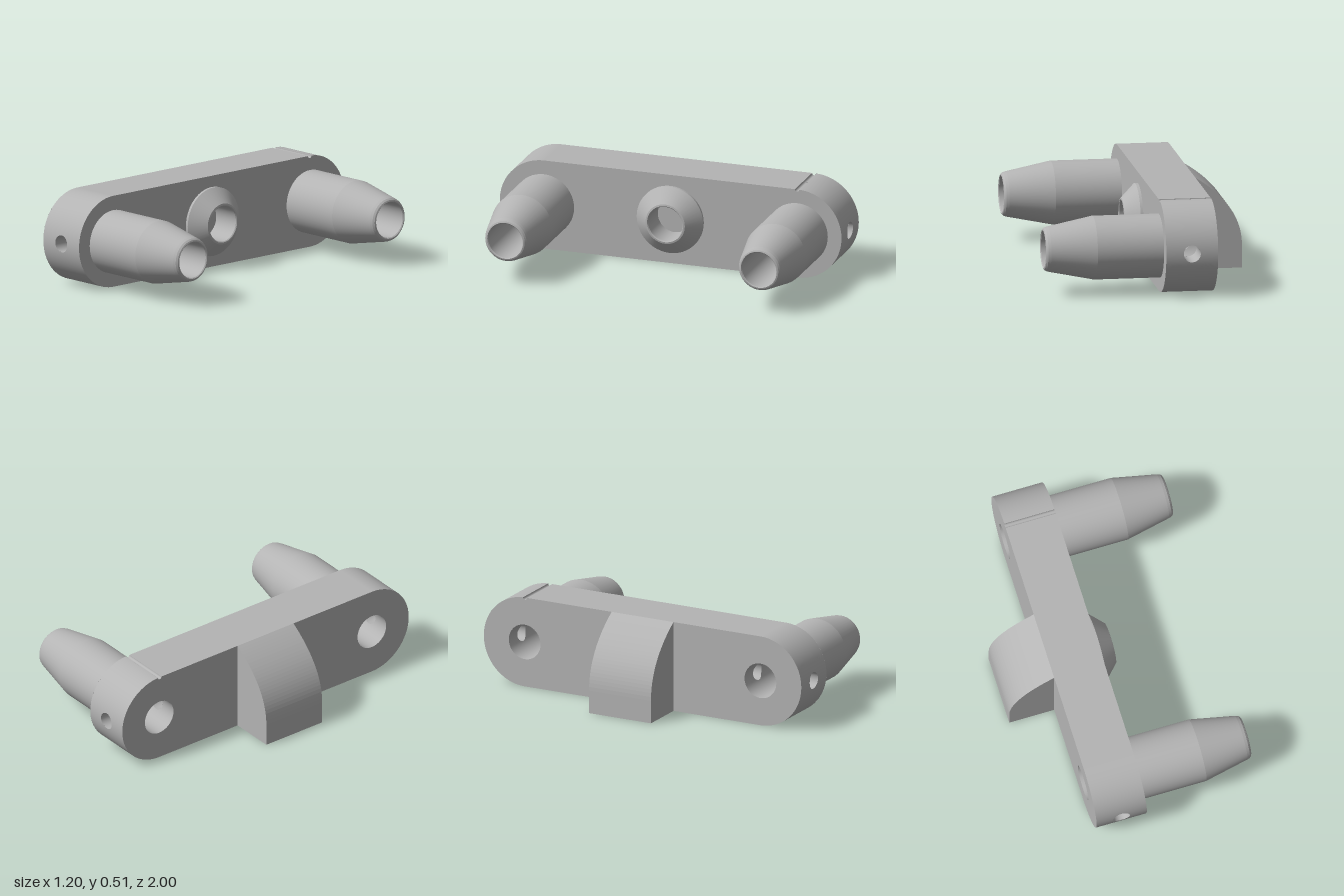
import * as THREE from 'three';
import { mergeGeometries } from 'three/addons/utils/BufferGeometryUtils.js';
import { ParametricGeometry } from 'three/addons/geometries/ParametricGeometry.js';

const CY = 0.2575, R = 0.2575, END = 0.7425;   // bar centre height, end radius, end centre
const BACK = -0.34, FACE = -0.05;              // bar thickness along x
const BORE = 0.1, CROSS = 0.048, MID = (BACK + FACE) / 2;
const GROOVE_Z = -0.74, GROOVE_R = 0.013, GROOVE_A = Math.asin((END - 0.73) / R * 0.85);
const PI = Math.PI;

const grey = new THREE.MeshStandardMaterial({ color: 0xb4b4b4, side: THREE.DoubleSide });
grey.name = 'grey';

const sheet = (f, nu, nv) => new ParametricGeometry((u, v, t) => t.set(...f(u, v)), nu, nv);

// curved wall running the full bar thickness
const arcWall = (cz, cy, r, a0, a1, n = 12) => sheet((u, v) => {
  const a = a0 + (a1 - a0) * v;
  return [BACK + (FACE - BACK) * u, cy + r * Math.sin(a), cz + r * Math.cos(a)];
}, 1, n);

const flatWall = (z0, z1, y) => sheet((u, v) => [BACK + (FACE - BACK) * u, y, z0 + (z1 - z0) * v], 1, 1);

// quarter of a cylinder wall, pierced by the cross hole
function piercedWall(cz, r, s) {
  const w = (FACE - BACK) / 2, h = r * Math.SQRT1_2;
  const corners = [[-w, -h], [w, -h], [w, h], [-w, h]];
  return sheet((u, v) => {
    const k = Math.min(3, Math.max(0, Math.floor(u * 4 + 1e-9))), f = u * 4 - k;
    const a = corners[k], b = corners[(k + 1) % 4];
    const px = a[0] + (b[0] - a[0]) * f, py = a[1] + (b[1] - a[1]) * f;
    const scale = 1 + (CROSS / Math.hypot(px, py) - 1) * v;
    const y = py * scale;
    return [MID + px * scale, CY + y, cz + s * Math.sqrt(r * r - y * y)];
  }, 48, 8);
}

// cross hole lining between two curved surfaces
const lining = (z0, z1) => sheet((u, v) => {
  const a = u * 2 * PI, y = CROSS * Math.sin(a);
  return [MID + CROSS * Math.cos(a), CY + y, z0(y) + (z1(y) - z0(y)) * v];
}, 32, 1);

// turned part along x with crisp corners between profile segments
function turned(profile) {
  const parts = profile.slice(1).map((p, i) => new THREE.LatheGeometry(
    [new THREE.Vector2(...profile[i]), new THREE.Vector2(...p)], 48));
  return mergeGeometries(parts).rotateZ(-PI / 2);
}

// flat stadium face with round openings
function barFace(x, holes) {
  const s = new THREE.Shape();
  const arc = (cz, cy, r, a0, a1, n) => {
    for (let i = 0; i <= n; i++) {
      const a = a0 + (a1 - a0) * i / n;
      const p = [-(cz + r * Math.cos(a)), cy + r * Math.sin(a)];
      if (s.curves.length || s.started) s.lineTo(...p);
      else { s.moveTo(...p); s.started = true; }
    }
  };
  arc(END, CY, R, -PI / 2, PI / 2, 48);
  arc(GROOVE_Z, 2 * R, GROOVE_R, 0, -PI, 8);
  arc(-END, CY, R, PI / 2 + GROOVE_A, PI * 1.5, 48);
  for (const z of holes) s.holes.push(new THREE.Path().absarc(-z, CY, BORE, 0, 2 * PI, true));
  return new THREE.ShapeGeometry(s, 24).rotateY(PI / 2).translate(x, 0, 0);
}

export function createModel() {
  const model = new THREE.Group();
  const add = (name, geometry, y = 0, z = 0) => {
    const m = new THREE.Mesh(geometry, grey);
    m.name = name;
    m.position.set(0, y, z);
    model.add(m);
  };

  // rounded bar
  add('barFrontFace', barFace(FACE, [END, 0, -END]));
  add('barBackFace', barFace(BACK, [END, -END]));
  add('barEdge', mergeGeometries([
    arcWall(END, CY, R, PI / 4, PI / 2),
    arcWall(END, CY, R, -PI / 2, -PI / 4),
    arcWall(-END, CY, R, PI / 2 + GROOVE_A, PI * 0.75),
    arcWall(-END, CY, R, PI * 1.25, PI * 1.5),
    flatWall(-END, END, 0),
    flatWall(END, GROOVE_Z + GROOVE_R, 2 * R),
    piercedWall(END, R, 1),
    piercedWall(-END, R, -1),
  ]));
  add('topGroove', arcWall(GROOVE_Z, 2 * R, GROOVE_R, 0, -PI));

  // hollow tapered pins and their bores through the bar
  const pin = turned([[0.177, FACE], [0.177, 0.32], [0.126, 0.572], [0.121, 0.588],
    [0.113, 0.597], [0.105, 0.6], [BORE, 0.595], [BORE, FACE]]);
  for (const s of [1, -1]) {
    const side = s > 0 ? 'left' : 'right', z = s * END;
    add(side + 'Pin', pin, CY, z);
    add(side + 'Bore', mergeGeometries([
      piercedWall(z, BORE, 1), piercedWall(z, BORE, -1),
      arcWall(z, CY, BORE, PI / 4, PI * 0.75), arcWall(z, CY, BORE, -PI * 0.75, -PI / 4),
    ]));
  }

  // cross hole running lengthwise
  const dip = (r, y) => Math.sqrt(r * r - y * y);
  add('crossHole', mergeGeometries([
    lining(y => END + dip(R, y), y => END + dip(BORE, y)),
    lining(y => END - dip(BORE, y), y => -END + dip(BORE, y)),
    lining(y => -END - dip(BORE, y), y => -END - dip(R, y)),
  ]));

  // central boss with a blind bore
  add('centreBoss', turned([[0.194, FACE], [0.194, -0.035], [0.115, 0.043],
    [0.105, 0.045], [BORE, 0.04], [BORE, -0.12], [0, -0.12]]), CY, 0);

  // curved fin at the back
  const fin = new THREE.Shape();
  fin.moveTo(BACK, 0);
  fin.lineTo(BACK, 2 * R);
  fin.bezierCurveTo(-0.47, 0.435, -0.6, 0.31, -0.6, 0.13);
  fin.lineTo(-0.6, 0);
  fin.closePath();
  const finGeometry = new THREE.ExtrudeGeometry(fin, { depth: 0.39, bevelEnabled: false, curveSegments: 24 });
  add('backFin', finGeometry.translate(0, 0, -0.195));

  return model;
}
